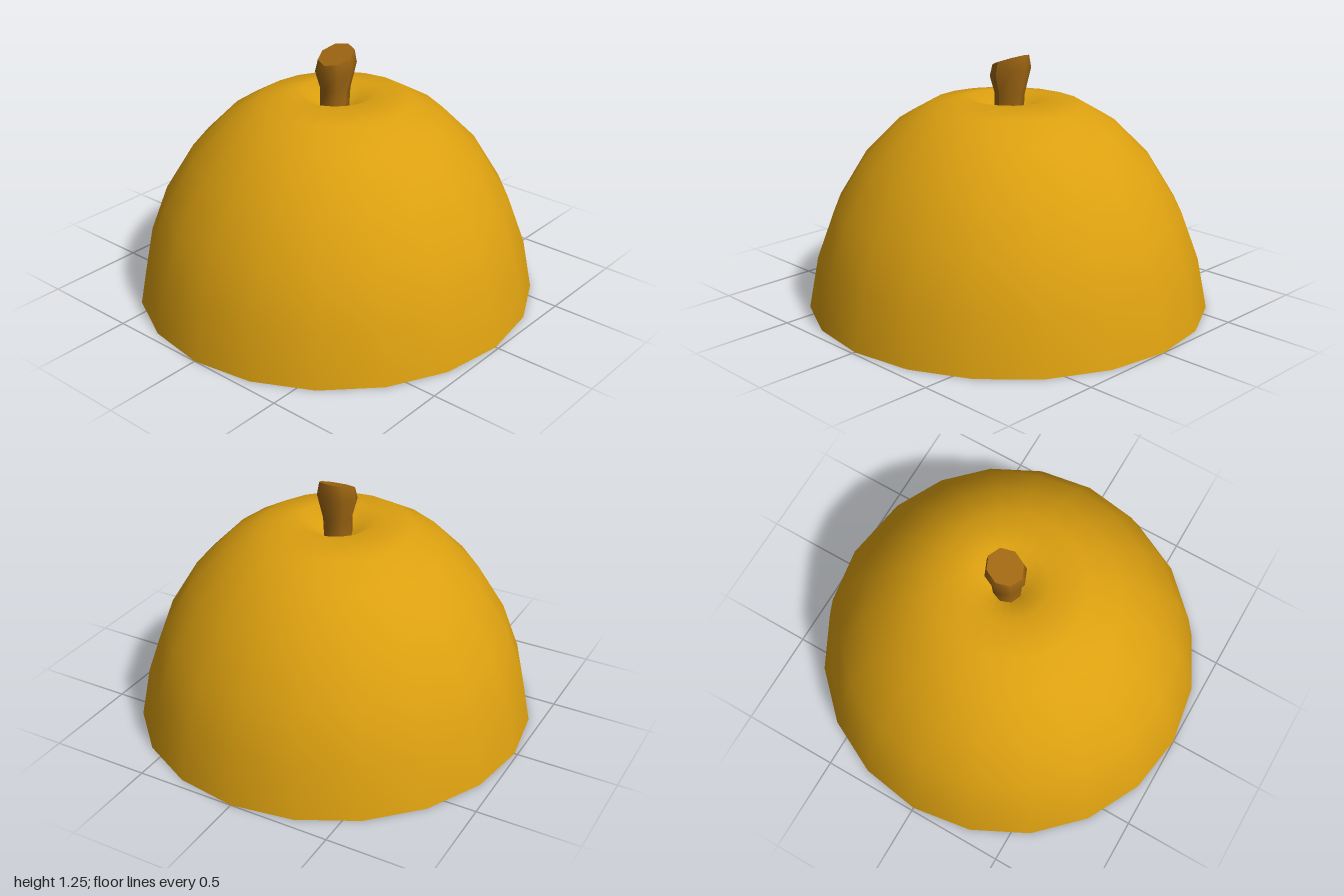
import * as THREE from 'three';

const skin = new THREE.MeshStandardMaterial({ color: 0xdca010 });
skin.name = 'golden skin';
const brown = new THREE.MeshStandardMaterial({ color: 0x9e6612 });
brown.name = 'stem brown';
const pulp = new THREE.MeshStandardMaterial({ color: 0xc0925a });
pulp.name = 'pale pulp';

const DEPTH = 0.985; // the fruit is slightly narrower in z

function add(group, name, geometry, material) {
  const mesh = new THREE.Mesh(geometry, material);
  mesh.name = name;
  group.add(mesh);
  return mesh;
}

// Move every vertex by a rule
function warp(geometry, rule) {
  const pos = geometry.attributes.position;
  const v = new THREE.Vector3();
  for (let i = 0; i < pos.count; i++) {
    rule(v.fromBufferAttribute(pos, i));
    pos.setXYZ(i, v.x, v.y, v.z);
  }
  return geometry;
}

// Point on the cut face, angle in degrees
function polar(r, degrees) {
  const a = THREE.MathUtils.degToRad(degrees);
  return new THREE.Vector2(r * Math.cos(a), r * Math.sin(a));
}

function ring(r, n) {
  return Array.from({ length: n }, (_, i) => polar(r, (i * 360) / n));
}

// Smooth closed outline through a few points
function smooth(points, samples) {
  const curve = new THREE.CatmullRomCurve3(
    points.map((p) => new THREE.Vector3(p.x, p.y, 0)), true);
  return curve.getPoints(samples).slice(0, -1).map((p) => new THREE.Vector2(p.x, p.y));
}

// Flat, downward facing plate at height y
function plate(outline, y, hole) {
  const shape = new THREE.Shape(outline);
  if (hole) shape.holes.push(new THREE.Path(hole));
  return new THREE.ShapeGeometry(shape).rotateX(Math.PI / 2).scale(1, 1, DEPTH).translate(0, y, 0);
}

export function createModel() {
  const fruit = new THREE.Group();
  fruit.name = 'halfFruit';

  // Dome with a dimple around the stem
  const profile = [
    [1, 0], [0.95, 0.255], [0.86, 0.495], [0.715, 0.73], [0.54, 0.905],
    [0.375, 1.0], [0.19, 1.03], [0.08, 0.96], [0, 0.93],
  ].map(([r, y]) => new THREE.Vector2(r, y));
  const dome = warp(new THREE.LatheGeometry(profile, 20), (v) => {
    v.z *= DEPTH;
    v.y *= 1 + 0.008 * (v.z - v.x);
  });
  add(fruit, 'dome', dome, skin);

  // Stem that flares upwards and ends in a slanted cut
  const rings = [
    { y: 0.93, r: 0.07, x: 0, slant: 0 },
    { y: 1.05, r: 0.073, x: 0.005, slant: 0 },
    { y: 1.155, r: 0.1, x: 0.01, slant: 0.3 },
    { y: 1.215, r: 0.088, x: 0.012, slant: 0.37 },
  ];
  const stem = warp(new THREE.CylinderGeometry(1, 1, 3, 8, 3), (v) => {
    const s = rings[Math.round(v.y + 1.5)];
    v.set(v.x * s.r, s.y + v.x * s.r * s.slant, v.z * s.r - 0.01);
    v.x += s.x;
  });
  stem.computeVertexNormals();
  add(fruit, 'stem', stem, brown);

  // Cut face: skin rim, brown core, pulp ring and seed pockets
  const cut = new THREE.Group();
  cut.name = 'cutFace';
  fruit.add(cut);
  add(cut, 'rim', plate(ring(1, 20), 0, ring(0.925, 48)), skin);
  add(cut, 'core', plate(ring(0.93, 48), 0.006), brown);

  const angles = [-156, -129, -100, -63, -39, -9, 16, 44, 66, 101, 127, 152, 178]
    .map((a) => a + 135);
  const scallops = [];
  angles.forEach((a, i) => {
    const next = i + 1 < angles.length ? angles[i + 1] : angles[0] + 360;
    const half = (next - a) / 2;
    scallops.push(polar(0.79, a - 4), polar(0.78, a + 5), polar(0.67, a + half));
  });
  add(cut, 'pulpRing', plate(ring(0.9, 48), 0.003, smooth(scallops, 156)), pulp);

  // Curled teardrop pockets
  const pocket = [[0.54, 3], [0.6, -5], [0.68, -10], [0.755, -7], [0.775, 2], [0.73, 10], [0.66, 8], [0.61, 9]];
  angles.forEach((a, i) => {
    const size = 0.95 + 0.1 * Math.sin(i * 2.3);
    const outline = pocket.map(([r, d]) => polar(r, a + d * size));
    add(cut, `seedPocket${i + 1}`, plate(smooth(outline, 32), 0.0005), skin);
  });

  return fruit;
}
